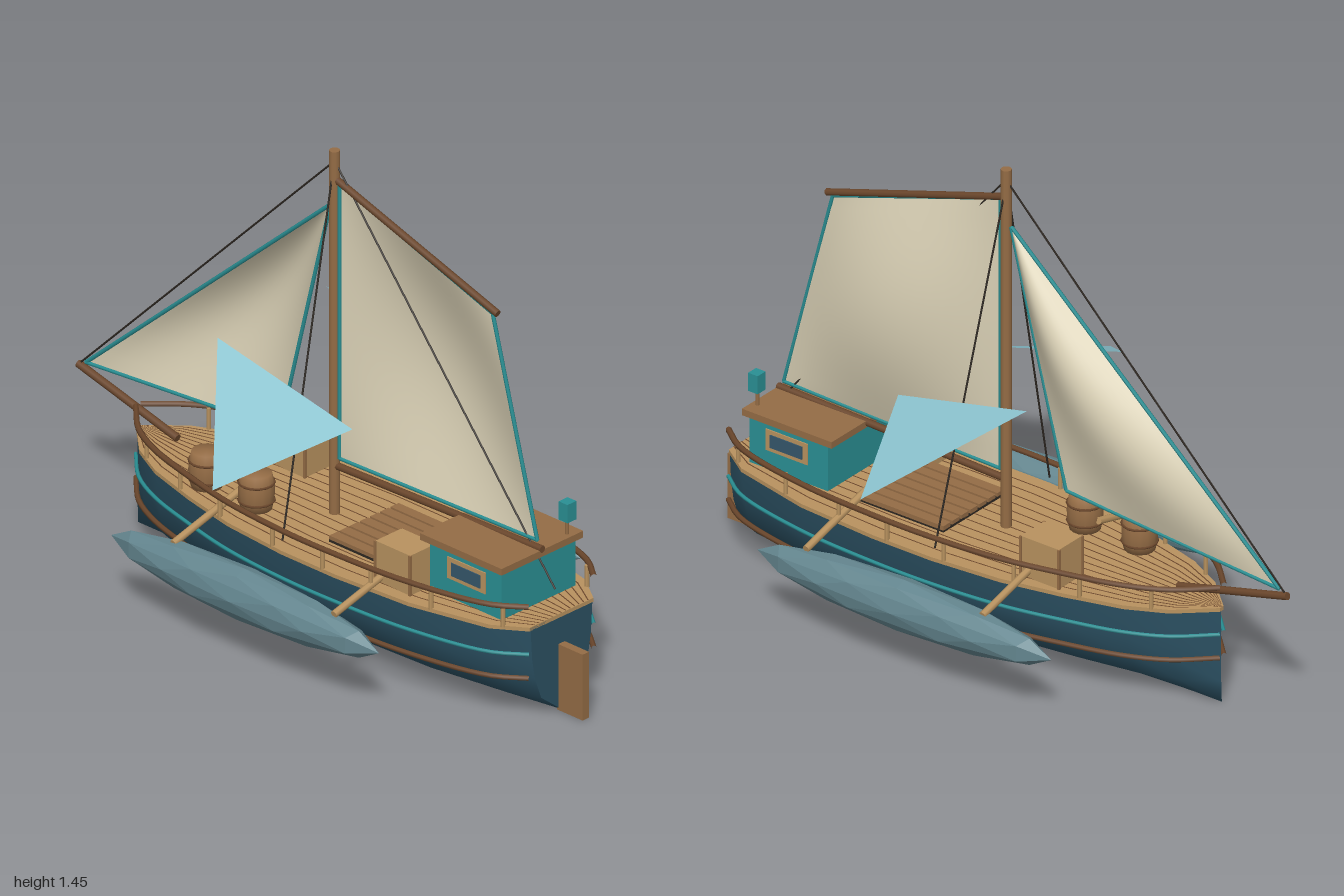
import * as THREE from 'three';

const paint = (name, color, extra = {}) => Object.assign(new THREE.MeshStandardMaterial({ color, ...extra }), { name });

export function createModel() {
  const hullBlue = paint('hull blue', 0x2b5062);
  const tan = paint('tan wood', 0xb8925f);
  const brown = paint('brown wood', 0x946c45);
  const dark = paint('dark wood', 0x6b472c);
  const teal = paint('teal', 0x2a9094);
  const cloth = paint('sail cloth', 0xd8cfb4, { side: THREE.DoubleSide });
  const floatGrey = paint('float grey', 0x64868f, { flatShading: true });
  const paleBlue = paint('pale blue', 0x8cc3cf, { side: THREE.DoubleSide });
  const rope = paint('rope', 0x2e2822);
  const glass = paint('glass', 0x35566b);

  const boat = new THREE.Group();
  boat.name = 'sailingBoat';
  const V = (x, y, z) => new THREE.Vector3(x, y, z);
  const add = (name, geo, mat) => {
    const m = new THREE.Mesh(geo, mat);
    m.name = name;
    boat.add(m);
    return m;
  };
  // Box given by its min and max corners
  const box = (name, mat, x0, x1, y0, y1, z0, z1) =>
    add(name, new THREE.BoxGeometry(x1 - x0, y1 - y0, z1 - z0), mat)
      .position.set((x0 + x1) / 2, (y0 + y1) / 2, (z0 + z1) / 2);
  // Round bar between two points
  const bar = (name, mat, a, b, r, sides = 8) => {
    const m = add(name, new THREE.CylinderGeometry(r, r, a.distanceTo(b), sides), mat);
    m.position.copy(a).lerp(b, 0.5);
    m.quaternion.setFromUnitVectors(V(0, 1, 0), b.clone().sub(a).normalize());
  };
  // Surface from rows of points
  const loft = (rows) => {
    const n = rows[0].length, index = [];
    for (let i = 0; i < rows.length - 1; i++) for (let j = 0; j < n - 1; j++) {
      const a = i * n + j;
      index.push(a, a + n, a + 1, a + 1, a + n, a + n + 1);
    }
    const g = new THREE.BufferGeometry().setFromPoints(rows.flat());
    g.setIndex(index);
    g.computeVertexNormals();
    return g;
  };

  // Half width of the deck along z, bow to stern
  const outline = [[-0.755, 0.004], [-0.65, 0.1], [-0.53, 0.16], [-0.35, 0.21], [-0.16, 0.25],
    [0.07, 0.27], [0.28, 0.27], [0.55, 0.25], [0.81, 0.19], [0.905, 0.125]];
  const halfWidth = (z) => {
    for (let i = 1; i < outline.length; i++) {
      const [z0, w0] = outline[i - 1], [z1, w1] = outline[i];
      if (z <= z1) return w0 + (w1 - w0) * (z - z0) / (z1 - z0);
    }
    return outline.at(-1)[1];
  };

  // Hull and transom
  const section = [[1, 0.3], [0.95, 0.2], [0.86, 0.135], [0.66, 0.066], [0, 0]];
  const ring = [...section, ...section.slice(0, -1).reverse().map(([w, y]) => [-w, y])];
  add('hull', loft(outline.map(([z, h]) => ring.map(([w, y]) => V(w * h, y, z)))), hullBlue);
  add('transom', new THREE.ShapeGeometry(new THREE.Shape(ring.map(([w, y]) => new THREE.Vector2(w * 0.125, y)))), hullBlue)
    .position.z = 0.905;

  // Deck with seams between the planks
  const deckShape = new THREE.Shape([...outline.map(([z, h]) => new THREE.Vector2(h + 0.004, -z)),
    ...[...outline].reverse().map(([z, h]) => new THREE.Vector2(-h - 0.004, -z))]);
  const deck = new THREE.ExtrudeGeometry(deckShape, { depth: 0.012, bevelEnabled: false });
  deck.rotateX(-Math.PI / 2);
  add('deck', deck, tan).position.y = 0.292;
  for (let k = -6; k <= 6; k++) {
    const f = k / 7;
    add('deckSeam', loft(outline.map(([z, h]) => {
      const t = Math.min(0.0022, h * 0.05);
      return [V(f * h - t, 0.3055, z), V(f * h + t, 0.3055, z)];
    })), dark);
  }

  // Rails and rubbing strakes on both sides
  for (const s of [-1, 1]) {
    for (const [name, y, r, mat] of [['handRail', 0.37, 0.009, dark], ['tealStrake', 0.22, 0.006, teal], ['lowerStrake', 0.145, 0.008, dark]]) {
      const path = new THREE.CatmullRomCurve3(outline.map(([z, h]) => V(s * (h + 0.006), y, z)));
      add(name, new THREE.TubeGeometry(path, 50, r, 6), mat);
    }
    for (const z of [-0.6, -0.4, -0.2, 0.03, 0.23, 0.41, 0.62, 0.84]) {
      const x = s * halfWidth(z);
      bar('railPost', tan, V(x, 0.3, z), V(x, 0.37, z), 0.007, 6);
    }

    // Outrigger float and its beams
    const float = add('outriggerFloat', new THREE.IcosahedronGeometry(1, 1), floatGrey);
    float.scale.set(0.067, 0.08, 0.525);
    float.position.set(s * 0.408, 0.212, 0.06);
    for (const z of [-0.22, 0.41]) bar('outriggerBeam', tan, V(s * 0.41, 0.273, z), V(s * 0.12, 0.348, z), 0.011);

    // Side fin sheet
    const fin = new THREE.BufferGeometry().setFromPoints([V(s * 0.22, 0.85, -0.23), V(s * 0.18, 0.72, 0.26), V(s * 0.57, 0.61, 0.09)]);
    fin.computeVertexNormals();
    add('sideFin', fin, paleBlue);

    // Cabin side window
    const plate = (name, mat, out, y0, y1, z0, z1) => {
      const xs = [s * 0.149, s * out].sort((a, b) => a - b);
      box(name, mat, xs[0], xs[1], y0, y1, z0, z1);
    };
    plate('windowFrame', tan, 0.154, 0.365, 0.432, 0.605, 0.755);
    plate('windowGlass', glass, 0.157, 0.378, 0.419, 0.623, 0.737);

    bar('shroud', rope, V(s * 0.01, 1.37, 0.015), V(s * 0.262, 0.33, 0.065), 0.003, 5);
  }

  // Cabin, roof and lamp
  box('cabin', teal, -0.15, 0.15, 0.3, 0.456, 0.535, 0.815);
  box('cabinRoof', brown, -0.165, 0.165, 0.455, 0.476, 0.51, 0.83);
  bar('lampPost', brown, V(0.12, 0.47, 0.81), V(0.12, 0.53, 0.81), 0.006);
  box('lamp', teal, 0.102, 0.138, 0.522, 0.58, 0.795, 0.829);

  // Hatch with slats
  box('hatch', rope, -0.14, 0.14, 0.3, 0.312, 0.13, 0.43);
  for (let i = 0; i < 7; i++) {
    const x = -0.14 + i * 0.0412;
    box('hatchSlat', brown, x, x + 0.033, 0.31, 0.324, 0.13, 0.43);
  }

  // Crates with straps
  for (const [x, z] of [[0.148, -0.262], [-0.168, 0.458]]) {
    box('crate', tan, x - 0.053, x + 0.053, 0.3, 0.43, z - 0.068, z + 0.068);
    for (const d of [-0.053, 0.053]) for (const e of [-0.068, 0.068])
      box('crateCorner', brown, x + d - 0.004, x + d + 0.004, 0.3, 0.43, z + e - 0.004, z + e + 0.004);
  }

  // Barrels with hoops
  const stave = [[0, 0], [0.044, 0], [0.051, 0.03], [0.053, 0.058], [0.051, 0.086], [0.044, 0.115], [0, 0.115]];
  for (const z of [-0.36, -0.165]) {
    add('barrel', new THREE.LatheGeometry(stave.map(([r, y]) => new THREE.Vector2(r, y)), 14), brown).position.set(-0.13, 0.3, z);
    for (const y of [0.33, 0.386]) {
      const hoop = add('barrelHoop', new THREE.TorusGeometry(0.051, 0.004, 5, 14), dark);
      hoop.rotation.x = Math.PI / 2;
      hoop.position.set(-0.13, y, z);
    }
  }

  // Rudder, mast and spars
  box('rudder', brown, -0.013, 0.013, 0.002, 0.21, 0.9, 1);
  bar('mast', brown, V(0, 0.3, 0.015), V(0, 1.45, 0.015), 0.016, 10);
  bar('boom', dark, V(0, 0.455, 0.015), V(0, 0.478, 0.83), 0.011);
  bar('gaff', dark, V(0, 1.36, 0.02), V(0, 1.16, 0.655), 0.011);
  bar('bowsprit', dark, V(0, 0.32, -0.6), V(0, 0.418, -0.99), 0.012);

  // Stays
  bar('forestay', rope, V(0, 1.41, 0.01), V(0, 0.42, -0.985), 0.003, 5);
  bar('backstay', rope, V(0, 1.41, 0.02), V(0, 0.37, 0.88), 0.003, 5);

  // Sails bellying to the left, with teal edges; corners run bottom a-b, top d-c
  const sail = (name, a, b, c, d) => {
    const rows = [], n = 16;
    for (let i = 0; i <= n; i++) {
      const v = i / n, row = [];
      for (let j = 0; j <= n; j++) {
        const u = j / n;
        const p = a.clone().lerp(b, u).lerp(d.clone().lerp(c, u), v);
        p.x += 0.08 * Math.sin(Math.PI * u) * Math.sin(Math.PI * v);
        row.push(p);
      }
      rows.push(row);
    }
    add(name, loft(rows), cloth);
    [[a, b], [b, c], [c, d], [d, a]].forEach(([p, q]) => p.distanceTo(q) > 0.01 && bar(name + 'Edge', teal, p, q, 0.006, 6));
  };
  sail('mainSail', V(0, 0.482, 0.035), V(0, 0.5, 0.81), V(0, 1.155, 0.635), V(0, 1.35, 0.035));
  sail('jib', V(0, 0.432, -0.96), V(0, 0.49, -0.2), V(0, 1.27, -0.002), V(0, 1.27, -0.004));

  return boat;
}
